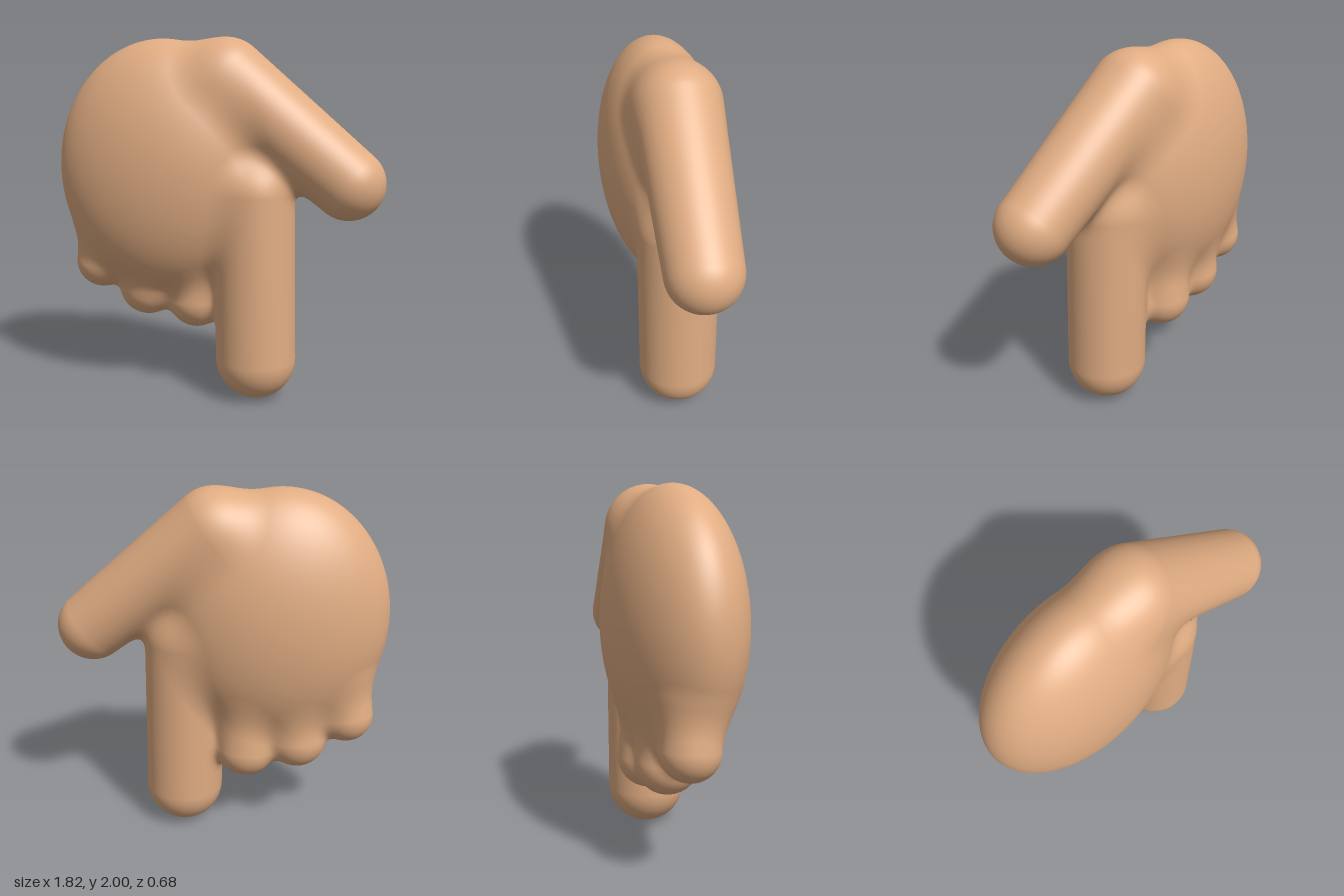
import * as THREE from 'three';

const V = (x, y, z) => new THREE.Vector3(x, y, z);

// Palm ellipsoid, and digits as round-ended tapered rods from a to b
const palm = { name: 'palm', center: V(-0.315, 1.29, 0), radii: V(0.6, 0.705, 0.34) };
const digits = [
  { name: 'thumb', a: V(0.04, 1.77, 0), b: V(0.715, 1.225, 0.075), ra: 0.23, rb: 0.195, k: 0.12 },
  { name: 'indexFinger', a: V(0.205, 1.15, 0.045), b: V(0.222, 0.228, 0.055), ra: 0.222, rb: 0.224, k: 0.1 },
  { name: 'middleFinger', a: V(-0.15, 0.85, -0.04), b: V(-0.14, 0.53, -0.06), ra: 0.16, rb: 0.17, k: 0.08 },
  { name: 'ringFinger', a: V(-0.42, 0.88, -0.04), b: V(-0.43, 0.59, -0.06), ra: 0.16, rb: 0.17, k: 0.08 },
  { name: 'littleFinger', a: V(-0.68, 0.95, -0.03), b: V(-0.705, 0.73, -0.05), ra: 0.15, rb: 0.155, k: 0.08 },
];

// Distance from a point to each simple form
function palmDistance(p) {
  const q = p.clone().sub(palm.center).divide(palm.radii);
  const k0 = q.length();
  const k1 = q.divide(palm.radii).length();
  return k1 < 1e-6 ? -0.34 : k0 * (k0 - 1) / k1;
}

function digitDistance(p, d) {
  const axis = d.b.clone().sub(d.a);
  const q = p.clone().sub(d.a);
  const t = THREE.MathUtils.clamp(q.dot(axis) / axis.lengthSq(), 0, 1);
  return q.addScaledVector(axis, -t).length() - THREE.MathUtils.lerp(d.ra, d.rb, t);
}

// Soft union of all forms: zero on the blended skin, negative inside
function field(p) {
  let f = palmDistance(p);
  for (const d of digits) {
    const g = digitDistance(p, d);
    const h = Math.max(d.k - Math.abs(f - g), 0) / d.k;
    f = Math.min(f, g) - h * h * d.k / 4;
  }
  return f;
}

function gradient(p, e = 0.001) {
  const g = V(0, 0, 0);
  for (let i = 0; i < 3; i++) {
    const q = p.clone();
    q.setComponent(i, p.getComponent(i) + e);
    const ahead = field(q);
    q.setComponent(i, p.getComponent(i) - e);
    g.setComponent(i, (ahead - field(q)) / (2 * e));
  }
  return g;
}

// Ease a part's vertices onto the blended skin; deeply buried ones stay put
function blendToSkin(geometry) {
  const pos = geometry.attributes.position;
  const nor = geometry.attributes.normal;
  const p = V(0, 0, 0);
  for (let i = 0; i < pos.count; i++) {
    p.fromBufferAttribute(pos, i);
    let f = field(p);
    if (f < -0.065) continue;
    for (let step = 0; step < 6 && Math.abs(f) > 1e-5; step++) {
      const g = gradient(p);
      p.addScaledVector(g, -f / Math.max(g.lengthSq(), 0.2));
      f = field(p);
    }
    pos.setXYZ(i, p.x, p.y, p.z);
    const n = gradient(p).normalize();
    nor.setXYZ(i, n.x, n.y, n.z);
  }
  return geometry;
}

// Bend a unit capsule into a tapered digit
function digitGeometry(d) {
  const geometry = new THREE.CapsuleGeometry(1, 1, 20, 64, 48);
  const pos = geometry.attributes.position;
  const turn = new THREE.Quaternion().setFromUnitVectors(V(0, 1, 0), d.b.clone().sub(d.a).normalize());
  const p = V(0, 0, 0);
  for (let i = 0; i < pos.count; i++) {
    p.fromBufferAttribute(pos, i);
    const t = THREE.MathUtils.clamp(p.y + 0.5, 0, 1);
    p.y -= t - 0.5;
    p.applyQuaternion(turn).multiplyScalar(THREE.MathUtils.lerp(d.ra, d.rb, t));
    p.add(d.a.clone().lerp(d.b, t));
    pos.setXYZ(i, p.x, p.y, p.z);
  }
  return geometry;
}

export function createModel() {
  const hand = new THREE.Group();
  hand.name = 'pointingHand';
  const skin = new THREE.MeshStandardMaterial({ color: 0xe0ac82 });

  const add = (name, geometry) => {
    const mesh = new THREE.Mesh(blendToSkin(geometry), skin);
    mesh.name = name;
    hand.add(mesh);
  };

  // Palm
  const palmShape = new THREE.SphereGeometry(1, 144, 108);
  palmShape.scale(...palm.radii.toArray());
  palmShape.translate(...palm.center.toArray());
  add(palm.name, palmShape);

  // Thumb, pointing finger and curled fingers
  for (const d of digits) add(d.name, digitGeometry(d));

  return hand;
}
